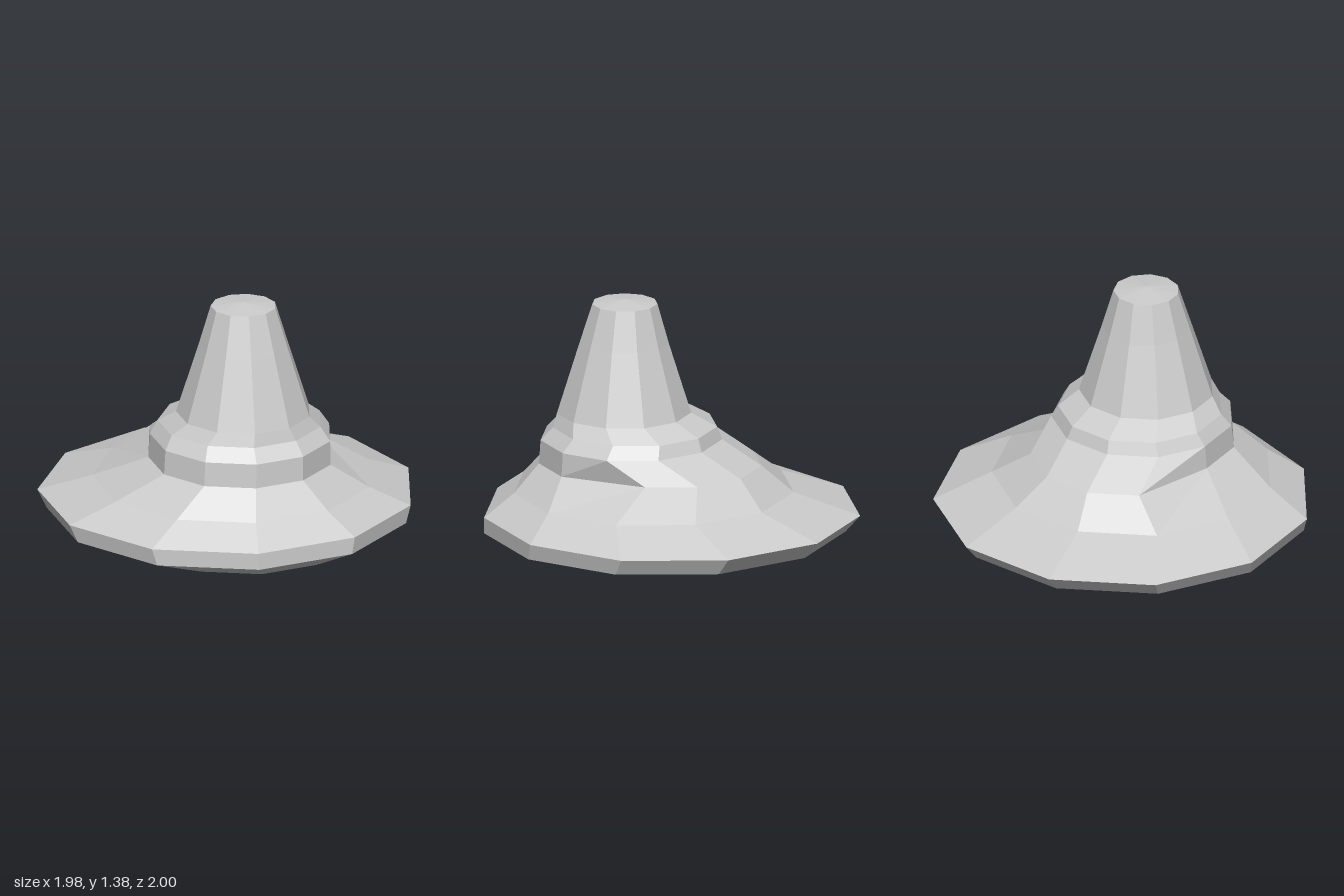
import * as THREE from 'three';

const SIDES = 11;
const material = new THREE.MeshStandardMaterial({ color: 0xcccccc, flatShading: true });

// One eleven-sided ring; the corners facing back can be pulled further back.
function ring(radius, y, z, x = -0.02, pullBack = 0) {
  const points = [];
  for (let k = 0; k < SIDES; k++) {
    const a = (k / SIDES) * Math.PI * 2;
    const shift = k < 5 ? -pullBack : 0;
    points.push(new THREE.Vector3(x + radius * Math.cos(a), y, z - radius * Math.sin(a) + shift));
  }
  points.radius = radius;
  return points;
}

// Faceted skin through rings listed from bottom to top.
function loft(name, rings) {
  const pos = [];
  const tri = (...corners) => corners.forEach((p) => pos.push(p.x, p.y, p.z));
  for (let i = 0; i < rings.length - 1; i++) {
    const low = rings[i], up = rings[i + 1];
    for (let k = 0; k < SIDES; k++) {
      const n = (k + 1) % SIDES;
      if (low.radius > 0) tri(low[k], low[n], up[n]);
      if (up.radius > 0) tri(low[k], up[n], up[k]);
    }
  }
  const geometry = new THREE.BufferGeometry();
  geometry.setAttribute('position', new THREE.Float32BufferAttribute(pos, 3));
  geometry.computeVertexNormals();
  const mesh = new THREE.Mesh(geometry, material);
  mesh.name = name;
  return mesh;
}

export function createModel() {
  const group = new THREE.Group();
  group.name = 'hat';

  // Rings shared by neighbouring parts
  const rimBottom = ring(0.97, 0.15, 0.04);
  const rimTop = ring(1.008, 0.24, 0);
  const bandBottom = ring(0.492, 0.5, 0.225, -0.015, 0.215);
  const bandTop = ring(0.487, 0.63, 0.22, -0.01);
  const crownBase = ring(0.36, 0.77, 0.26, -0.01);

  group.add(
    // Shallow bowl below the brim
    loft('underside', [
      ring(0, 0.005, 0.3), ring(0.2, 0.02, 0.3), ring(0.57, 0.07, 0.3), rimBottom,
    ]),
    loft('brimEdge', [rimBottom, rimTop]),
    loft('brim', [rimTop, ring(0.75, 0.355, 0.1), bandBottom]),
    // Upright in front, sloping into the brim at the back
    loft('band', [bandBottom, bandTop]),
    loft('shoulder', [bandTop, ring(0.44, 0.7, 0.2, -0.01), crownBase]),
    loft('crown', [crownBase, ring(0.24, 1.15, 0.26, -0.01), ring(0.175, 1.365, 0.255, -0.01)]),
    loft('crownTop', [ring(0.175, 1.365, 0.255, -0.01), ring(0, 1.385, 0.255, -0.01)]),
  );
  return group;
}
